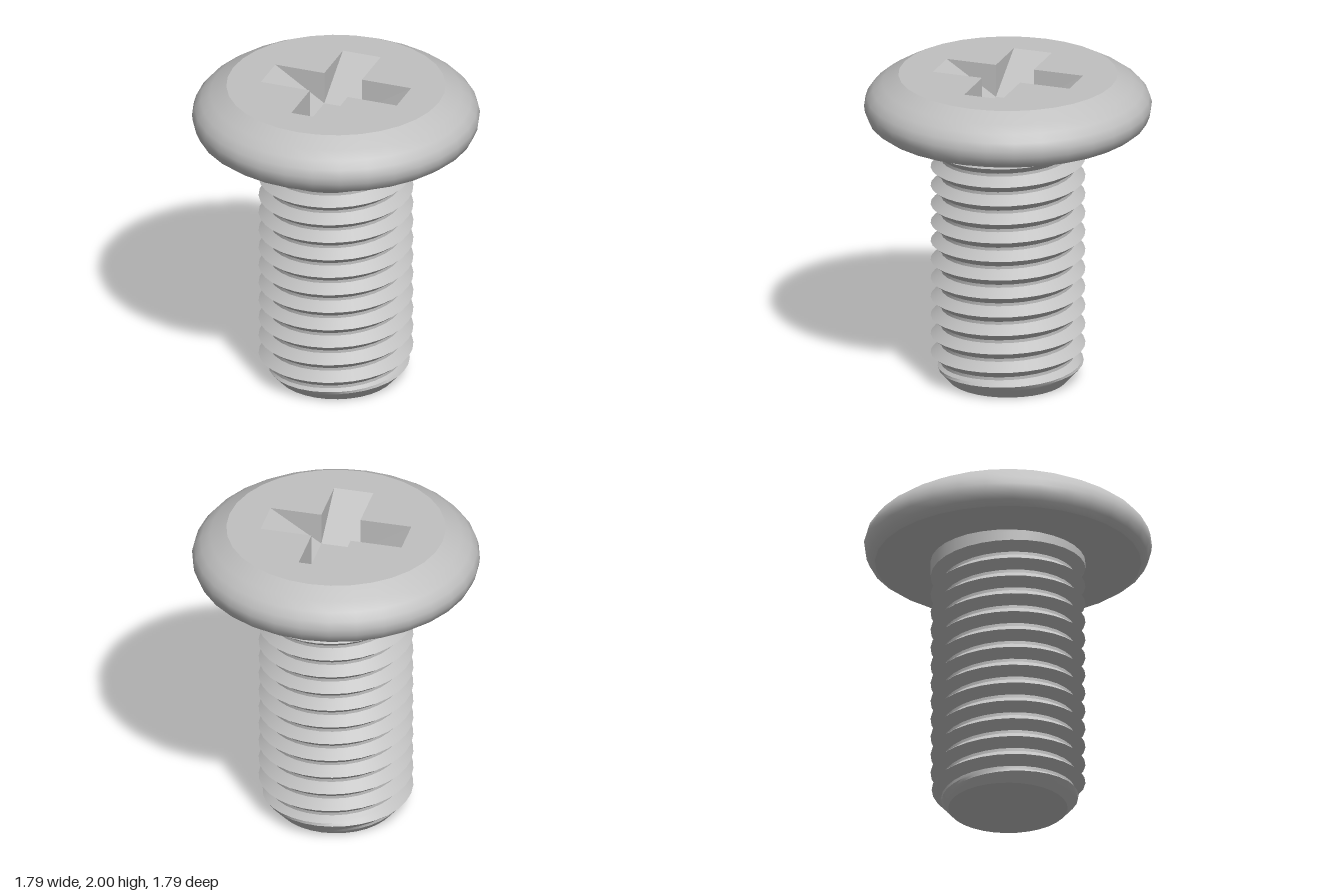
import * as THREE from 'three';
import { toCreasedNormals } from 'three/addons/utils/BufferGeometryUtils.js';

const SEGMENTS = 32;
const HEAD_TOP = 2, HEAD_BOTTOM = 1.68;
const TOP_RADIUS = 0.68;
const CREST = 0.48, ROOT = 0.415, TIP = 0.37;
const PITCH = 0.122, FIRST_CREST = 0.195;
const SLOT_HALF = 0.125, SLOT_REACH = 0.45, SLOT_DEPTH = 0.21;

const clamp = THREE.MathUtils.clamp;

function fromTriangles(points) {
  const geometry = new THREE.BufferGeometry();
  const flat = points.flatMap((p) => [p.x, p.y, p.z]);
  geometry.setAttribute('position', new THREE.Float32BufferAttribute(flat, 3));
  geometry.computeVertexNormals();
  return geometry;
}

// Right-hand helical thread with a chamfered tip and a groove that runs out under the head
function threadGeometry() {
  const steps = [0, 0.14, 0.28, 0.42, 0.58, 0.72, 0.86];
  const point = (row, i) => {
    const step = steps[row % steps.length];
    const turn = Math.floor(row / steps.length) - 3 + i / SEGMENTS;
    const y = clamp(FIRST_CREST + PITCH * (turn + step), 0, HEAD_BOTTOM);
    const depth = Math.min(1, Math.min(step, 1 - step) / 0.42);
    const fade = clamp((11.15 - turn) / 0.3, 0, 1);
    const thread = CREST - (CREST - ROOT) * depth * fade;
    const r = Math.min(thread, TIP + 0.9 * y);
    const angle = (i / SEGMENTS) * Math.PI * 2;
    return new THREE.Vector3(r * Math.cos(angle), y, -r * Math.sin(angle));
  };
  const triangles = [];
  const add = (a, b, c) => {
    // Skip slivers flattened against either end
    if (new THREE.Triangle(a, b, c).getArea() > 1e-7) triangles.push(a, b, c);
  };
  for (let row = 0; row < steps.length * 17; row++) {
    for (let i = 0; i < SEGMENTS; i++) {
      const a = point(row, i), b = point(row, i + 1);
      const c = point(row + 1, i + 1), d = point(row + 1, i);
      if (a.y === d.y && b.y === c.y) continue;
      add(a, b, c);
      add(a, c, d);
    }
  }
  return toCreasedNormals(fromTriangles(triangles), 0.5);
}

// Flat top of the head, pierced by a cross
function topGeometry() {
  const shape = new THREE.Shape();
  for (let i = 0; i < SEGMENTS; i++) {
    const angle = (i / SEGMENTS) * Math.PI * 2;
    const x = TOP_RADIUS * Math.cos(angle), y = TOP_RADIUS * Math.sin(angle);
    if (i === 0) shape.moveTo(x, y);
    else shape.lineTo(x, y);
  }
  const corners = [];
  for (let k = 0; k < 4; k++) {
    const center = new THREE.Vector2();
    for (const [x, y] of [[SLOT_REACH, -SLOT_HALF], [SLOT_REACH, SLOT_HALF], [SLOT_HALF, SLOT_HALF]]) {
      corners.push(new THREE.Vector2(x, y).rotateAround(center, (k * Math.PI) / 2));
    }
  }
  shape.holes.push(new THREE.Path(corners.reverse()));
  return new THREE.ShapeGeometry(shape).rotateX(-Math.PI / 2);
}

// One arm of the recess: sloping floor and two side walls
function slotArmGeometry() {
  const v = (x, y, z) => new THREE.Vector3(x, y, z);
  const w = SLOT_HALF, low = HEAD_TOP - SLOT_DEPTH;
  const a = v(SLOT_REACH, HEAD_TOP, w), b = v(SLOT_REACH, HEAD_TOP, -w);
  const c = v(w, low, -w), d = v(w, low, w);
  const e = v(w, HEAD_TOP, w), f = v(w, HEAD_TOP, -w);
  return fromTriangles([a, b, c, a, c, d, a, d, e, b, f, c]);
}

export function createModel() {
  const model = new THREE.Group();
  model.name = 'machineScrew';
  const steel = new THREE.MeshStandardMaterial({ color: 0xc0c0c0 });
  steel.name = 'steel grey';

  const add = (parent, name, geometry, y = 0) => {
    const mesh = new THREE.Mesh(geometry, steel);
    mesh.name = name;
    mesh.position.y = y;
    parent.add(mesh);
    return mesh;
  };

  // Head
  const head = new THREE.Group();
  head.name = 'head';
  model.add(head);
  const rim = [
    [0.825, HEAD_BOTTOM], [0.865, 1.71], [0.887, 1.76], [0.893, 1.805],
    [0.878, 1.855], [0.84, 1.902], [0.78, 1.945], [TOP_RADIUS, HEAD_TOP],
  ].map(([x, y]) => new THREE.Vector2(x, y));
  add(head, 'roundedRim', new THREE.LatheGeometry(rim, SEGMENTS));
  add(head, 'headTop', topGeometry(), HEAD_TOP);
  add(head, 'headUnderside',
    new THREE.RingGeometry(0.4, 0.825, SEGMENTS).rotateX(Math.PI / 2), HEAD_BOTTOM);

  // Cross recess
  const recess = new THREE.Group();
  recess.name = 'crossRecess';
  head.add(recess);
  for (let k = 0; k < 4; k++) {
    add(recess, 'recessArm', slotArmGeometry()).rotation.y = (k * Math.PI) / 2;
  }
  add(recess, 'recessFloor',
    new THREE.PlaneGeometry(SLOT_HALF * 2, SLOT_HALF * 2).rotateX(-Math.PI / 2), HEAD_TOP - SLOT_DEPTH);

  // Shaft
  add(model, 'threadedShaft', threadGeometry());
  add(model, 'shaftTip', new THREE.CircleGeometry(TIP, SEGMENTS).rotateX(Math.PI / 2));

  return model;
}
